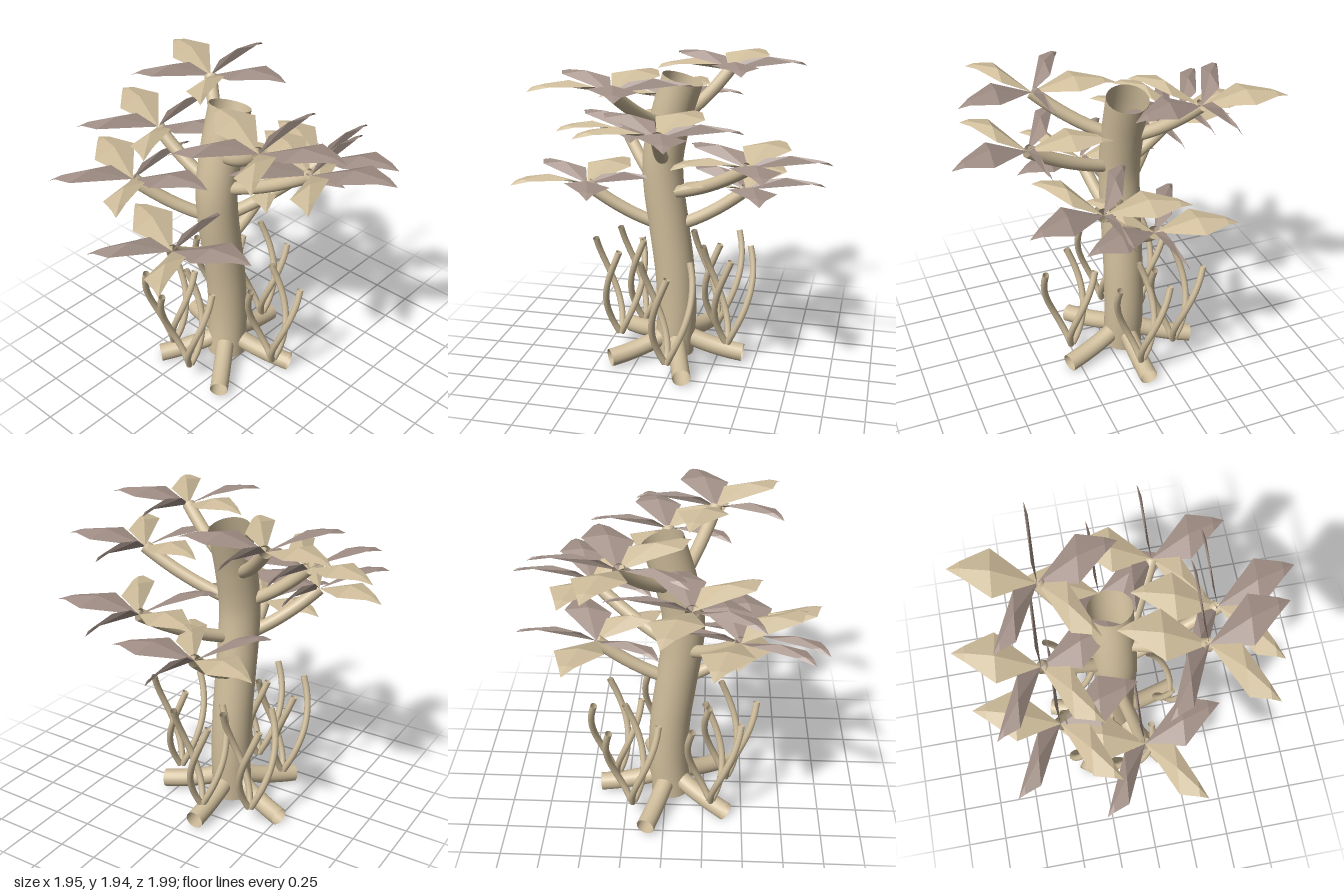
import * as THREE from 'three';

const V = (x, y, z) => new THREE.Vector3(x, y, z);

export function createModel() {
  const model = new THREE.Group();
  model.name = 'tree';

  const mat = (name, color, flatShading = false) => {
    const m = new THREE.MeshStandardMaterial({ color, side: THREE.DoubleSide, flatShading });
    m.name = name;
    return m;
  };
  const bark = mat('sandBark', 0xcfbd9b);
  const leafSand = bark.clone();
  leafSand.name = 'sandLeaf';
  leafSand.flatShading = true;
  const leafMauve = mat('mauveLeaf', 0xa18f86, true);

  const add = (parent, name, geo, material) => {
    const mesh = new THREE.Mesh(geo, material);
    mesh.name = name;
    parent.add(mesh);
    return mesh;
  };
  const tube = (parent, name, curve, radius, segments = 16, sides = 16) =>
    add(parent, name, new THREE.TubeGeometry(curve, segments, radius, sides), bark);

  // Trunk: an open, gently swaying tube
  const trunkZ = -0.1;
  const trunkCurve = new THREE.CatmullRomCurve3([
    [-0.035, 0.04], [-0.018, 0.32], [-0.03, 0.6], [-0.067, 0.9],
    [-0.1, 1.15], [-0.107, 1.35], [-0.06, 1.6], [0.018, 1.86],
  ].map(([x, y]) => V(x, y, trunkZ)));
  tube(model, 'trunk', trunkCurve, 0.128, 48, 28);
  const trunkAt = (y) => {
    let best = trunkCurve.getPoint(0);
    for (let i = 1; i <= 100; i++) {
      const p = trunkCurve.getPoint(i / 100);
      if (Math.abs(p.y - y) < Math.abs(best.y - y)) best = p;
    }
    return best;
  };

  // Five roots spreading from the foot of the trunk
  for (let i = 0; i < 5; i++) {
    const a = (i * Math.PI * 2) / 5;
    const at = (r, y) => V(-0.03 + Math.cos(a) * r, y, trunkZ + Math.sin(a) * r);
    tube(model, 'root', new THREE.QuadraticBezierCurve3(at(0, 0.19), at(0.2, 0.09), at(0.455, 0.063)), 0.058);
  }

  // Clumps of three thin stems that twist upward around a shared foot
  const clumps = [[0.32, -0.09], [0, 0.28], [-0.4, -0.09], [-0.3, -0.335], [0.2, -0.37]];
  for (const [x, z] of clumps) {
    const clump = new THREE.Group();
    clump.name = 'stemClump';
    clump.position.set(x, 0, z);
    model.add(clump);
    for (const end of [-166, -46, 74]) {
      const points = [];
      for (let k = 0; k <= 8; k++) {
        const t = k / 8;
        const r = 0.01 + 0.167 * (1 - (1 - t) ** 2);
        const a = THREE.MathUtils.degToRad(end + 84 * (1 - t));
        points.push(V(Math.cos(a) * r, 0.13 + 0.64 * t, Math.sin(a) * r));
      }
      tube(clump, 'stem', new THREE.CatmullRomCurve3(points), 0.021, 24, 10);
    }
  }

  // Leaf: a ridged diamond with a curled tip; its width always runs along x
  const leafGeometry = (angle) => {
    const rib = [[0, 0, 0], [0.5, 0.095, 1], [0.84, 0.078, 0.32], [1, 0.048, 0]];
    const rows = rib.map(([t, y, w]) => {
      const x = Math.cos(angle) * 0.49 * t;
      const z = -Math.sin(angle) * 0.5 * t;
      return [-1, 0, 1].map((s) => [x + s * w * 0.15, y - Math.abs(s) * w * 0.03, z + s * w * 0.014]);
    });
    const pos = [];
    for (let i = 0; i < rows.length - 1; i++) {
      for (let s = 0; s < 2; s++) {
        const [a, b, c, d] = [rows[i][s], rows[i][s + 1], rows[i + 1][s + 1], rows[i + 1][s]];
        if (i > 0) pos.push(...a, ...b, ...(i < 2 ? c : rows[3][1]));
        if (i < 2) pos.push(...a, ...c, ...d);
      }
    }
    const geo = new THREE.BufferGeometry();
    geo.setAttribute('position', new THREE.Float32BufferAttribute(pos, 3));
    geo.computeVertexNormals();
    return geo;
  };
  const leaves = [0, 1, 2, 3, 4].map((i) => leafGeometry((i * Math.PI * 2) / 5));

  // Branches, each rising from the trunk to a rosette of five leaves
  const tips = [
    [-0.58, 1.18, -0.01], [0.42, 1.18, -0.11],
    [-0.44, 1.415, -0.475], [0.48, 1.415, 0.23],
    [-0.165, 1.64, -0.525], [0.012, 1.64, 0.515],
    [0.24, 1.855, -0.465], [-0.285, 1.855, 0.385],
  ];
  for (const [x, y, z] of tips) {
    const start = trunkAt(y - 0.28);
    const tip = V(x, y, z);
    const bend = start.clone().lerp(tip, 0.5).setY(start.y + 0.07);
    tube(model, 'branch', new THREE.QuadraticBezierCurve3(start, bend, tip), 0.04);

    const rosette = new THREE.Group();
    rosette.name = 'leafRosette';
    rosette.position.copy(tip);
    model.add(rosette);
    leaves.forEach((geo, i) => add(rosette, 'leaf', geo, i % 2 ? leafSand : leafMauve));
  }
  return model;
}
